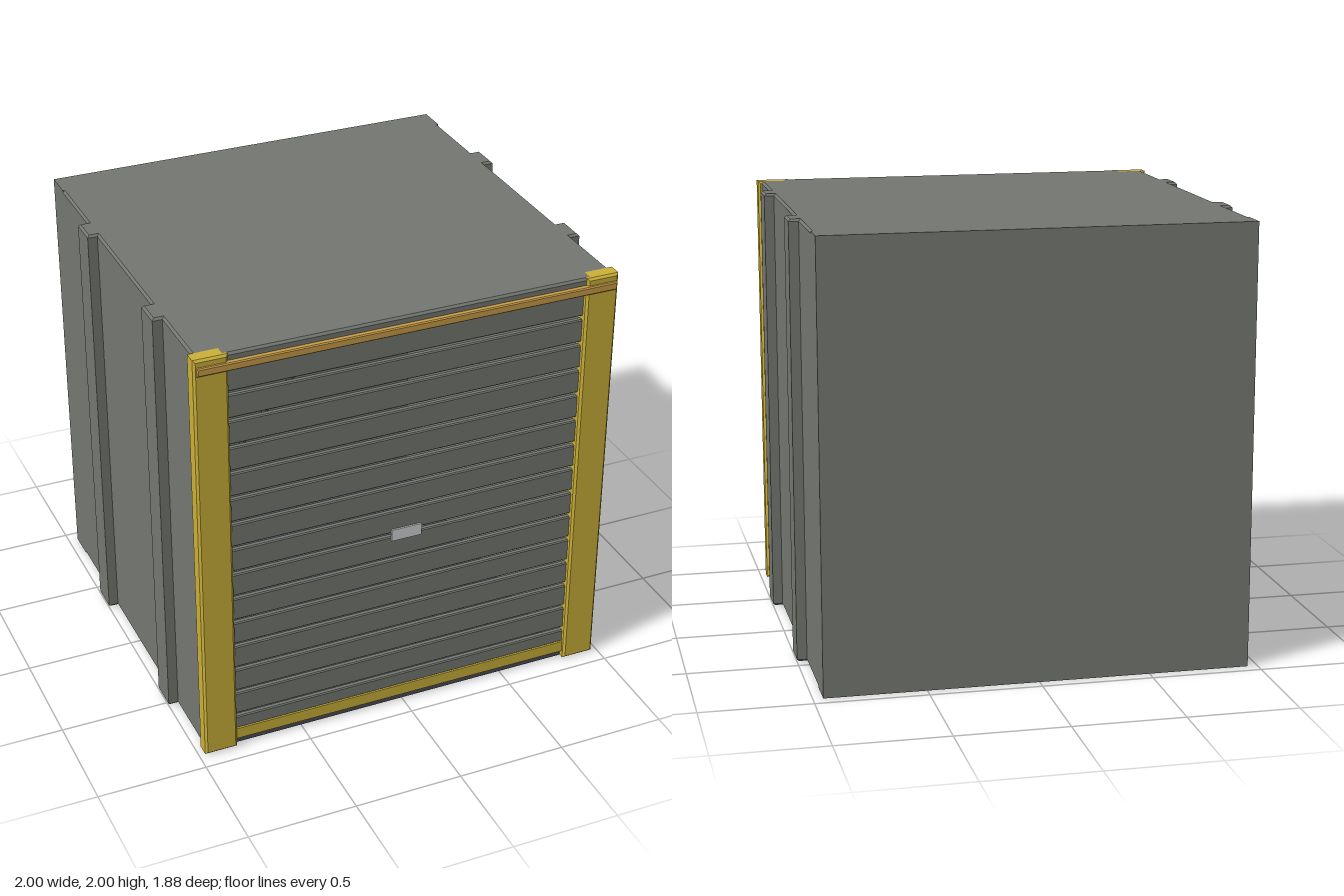
import * as THREE from 'three';

const mat = (name, color) => {
  const m = new THREE.MeshStandardMaterial({ color });
  m.name = name;
  return m;
};

// Extruded outline with a chamfered rim that stays inside the outline
function chamferExtrude(points, depth, b) {
  const shape = new THREE.Shape(points.map(p => new THREE.Vector2(p[0], p[1])));
  const g = new THREE.ExtrudeGeometry(shape, {
    depth: depth - 2 * b, bevelEnabled: true, bevelSegments: 1,
    bevelSize: b, bevelThickness: b, bevelOffset: -b,
  });
  g.translate(0, 0, b);
  return g;
}

export function createModel() {
  const model = new THREE.Group();
  model.name = 'storageUnit';
  const wall = mat('wallGrey', 0x747771);
  const yellow = mat('frameYellow', 0xcbb039);
  const orange = mat('beamOrange', 0xc99d48);
  const dark = mat('floorDark', 0x4a4c54);
  const plate = mat('plateWhite', 0xcfd2d5);

  const add = (name, geometry, material) => {
    const mesh = new THREE.Mesh(geometry, material);
    mesh.name = name;
    model.add(mesh);
    return mesh;
  };
  // Box given by its minimum and maximum corners, optionally chamfered
  const box = (name, [x0, y0, z0], [x1, y1, z1], material, b = 0) => {
    let g;
    if (b) {
      g = chamferExtrude([[x0, y0], [x1, y0], [x1, y1], [x0, y1]], z1 - z0, b);
      g.translate(0, 0, z0);
    } else {
      g = new THREE.BoxGeometry(x1 - x0, y1 - y0, z1 - z0);
      g.translate((x0 + x1) / 2, (y0 + y1) / 2, (z0 + z1) / 2);
    }
    return add(name, g, material);
  };

  // Shell: back wall, roof and floor
  box('backWall', [-0.955, 0, -0.945], [0.955, 2, -0.81], wall);
  box('roof', [-0.945, 1.94, -0.82], [0.945, 2, 0.86], wall);
  box('header', [-0.84, 1.925, 0.82], [0.84, 2, 0.915], wall, 0.01);
  box('floor', [-0.82, 0, -0.81], [0.82, 0.025, 0.89], dark);

  // Side walls with two vertical ribs each, and the front posts
  for (const s of [1, -1]) {
    const ribs = [[-0.45, -0.315], [0.39, 0.525]];
    const outline = [[0.82, -0.82]];
    outline.push([0.955, -0.82]);
    for (const [a, b] of ribs) outline.push([0.955, a], [1, a], [1, b], [0.955, b]);
    outline.push([0.955, 0.87], [0.82, 0.87]);
    const g = chamferExtrude(outline.map(([x, z]) => [s * x, -z]), 2, 0.01);
    g.rotateX(-Math.PI / 2);
    add(s > 0 ? 'leftWall' : 'rightWall', g, wall);

    const [xa, xb] = s > 0 ? [0.82, 0.972] : [-0.972, -0.82];
    box(s > 0 ? 'leftPost' : 'rightPost', [xa, 0.003, 0.85], [xb, 2, 0.926], yellow, 0.01);
  }
  box('topBeam', [-0.96, 1.93, 0.9], [0.96, 1.967, 0.94], orange, 0.005);

  // Slatted door: narrow open gaps between the slats
  const pitch = 0.1265, firstGap = 1.803, gaps = 14, half = 0.009;
  for (let i = 0; i <= gaps; i++) {
    const top = i === 0 ? 1.935 : firstGap - (i - 1) * pitch - half;
    const bottom = i === gaps ? 0.085 : firstGap - i * pitch + half;
    box('doorSlat', [-0.825, bottom, 0.872], [0.825, top, 0.9], wall, 0.005);
  }
  box('doorBottomBar', [-0.825, 0.033, 0.87], [0.825, 0.087, 0.906], yellow);
  box('doorPlate', [-0.072, 0.89, 0.898], [0.072, 0.947, 0.908], plate);

  // Interior glimpsed through the gaps
  box('ceilingLamp', [-0.6, 1.79, -0.1], [0.6, 1.83, 0], plate);
  box('wallBoard', [-0.66, 1.33, -0.81], [-0.14, 1.55, -0.802], plate);
  for (let i = 0; i < 4; i++) {
    const x = -0.06 + i * 0.06;
    box('wallSocket', [x - 0.01, 1.15, -0.81], [x + 0.01, 1.18, -0.802], plate);
  }
  box('cableHook', [0.335, 1.66, -0.81], [0.385, 1.69, -0.76], yellow);
  const path = new THREE.CatmullRomCurve3([
    [0.36, 1.67], [0.43, 1.42], [0.48, 1.2], [0.37, 0.92], [0.17, 0.79],
    [-0.05, 0.54], [-0.24, 0.285], [-0.4, 0.03],
  ].map(([x, y]) => new THREE.Vector3(x, y, -0.78)));
  add('hangingCable', new THREE.TubeGeometry(path, 32, 0.012, 6), dark);

  return model;
}
